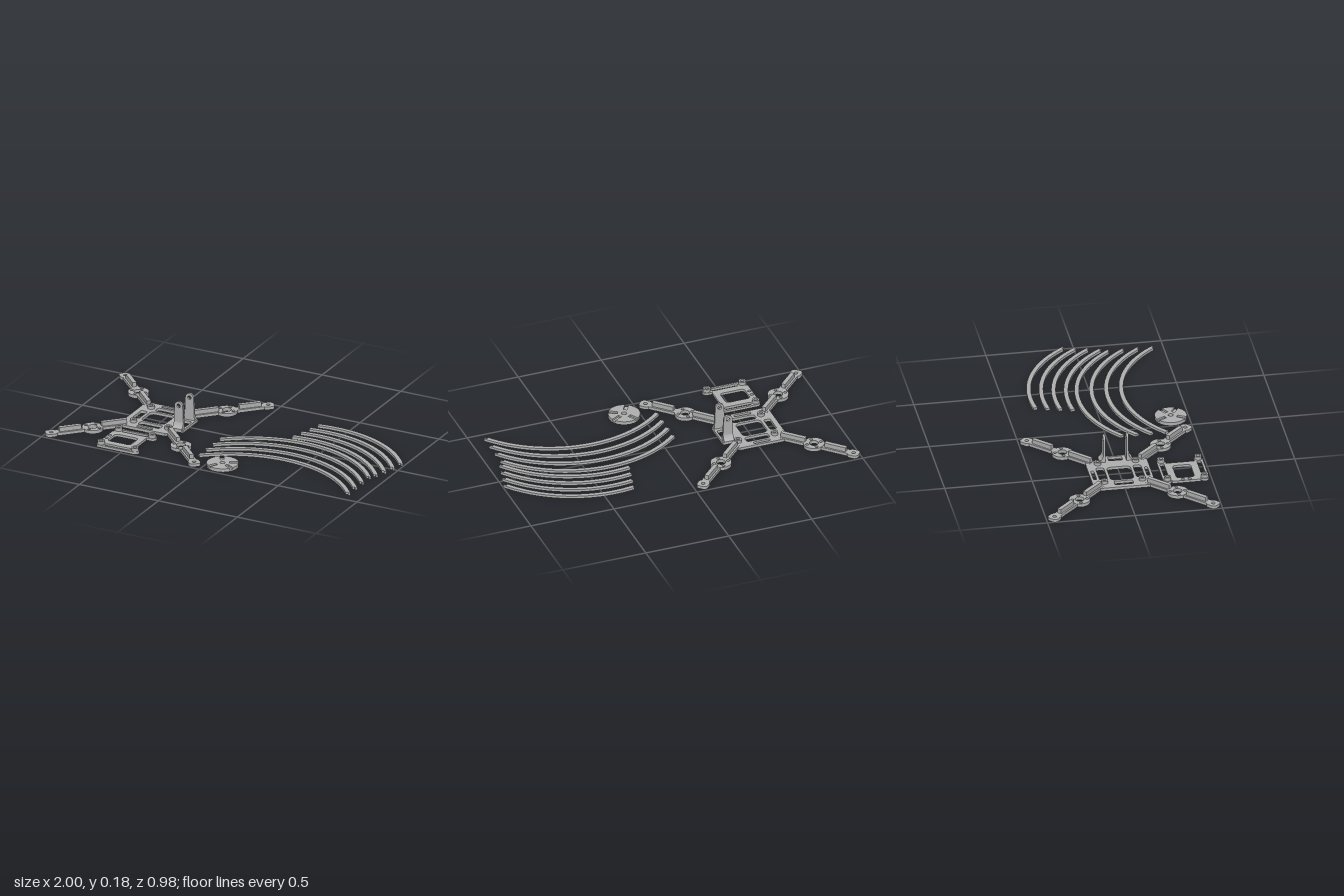
import * as THREE from 'three';

const grey = new THREE.MeshStandardMaterial({ color: 0xb0b0b0 });
grey.name = 'grey plastic';

// Rounded rectangle outline, usable as a shape or a hole
function roundRect(cx, cy, w, h, r, Type = THREE.Path) {
  const p = new Type(), x = w / 2, y = h / 2, q = Math.PI / 2;
  [[1, 1], [-1, 1], [-1, -1], [1, -1]].forEach(([sx, sy], i) =>
    p.absarc(cx + sx * (x - r), cy + sy * (y - r), r, i * q, (i + 1) * q, false));
  p.closePath();
  return p;
}

function circle(cx, cy, r, Type = THREE.Path) {
  return new Type().absarc(cx, cy, r, 0, Math.PI * 2, false);
}

// Flat plate lying on the ground; outlines use (x, -z)
function plate(name, shape, height, holes = [], y = 0) {
  shape.holes.push(...holes);
  const g = new THREE.ExtrudeGeometry(shape, { depth: height, bevelEnabled: false, curveSegments: 12 });
  g.rotateX(-Math.PI / 2).translate(0, y, 0);
  const m = new THREE.Mesh(g, grey);
  m.name = name;
  return m;
}

function box(name, w, h, d, x, y, z) {
  const m = new THREE.Mesh(new THREE.BoxGeometry(w, h, d), grey);
  m.position.set(x, y, z);
  m.name = name;
  return m;
}

const ring = (name, x, y, r, hole, h) => plate(name, circle(x, y, r, THREE.Shape), h, [circle(x, y, hole)]);

// Arm around its motor mount, tip towards local +x
function makeArm() {
  const arm = new THREE.Group();
  arm.name = 'arm';
  const screws = [0, 1, 2, 3].map(i => {
    const a = Math.PI / 4 + i * Math.PI / 2;
    return circle(0.042 * Math.cos(a), 0.042 * Math.sin(a), 0.009);
  });
  arm.add(
    plate('motorMount', circle(0, 0, 0.06, THREE.Shape), 0.02, [circle(0, 0, 0.026), ...screws]),
    plate('armTip', roundRect(0.245, 0, 0.066, 0.066, 0.022, THREE.Shape), 0.018, [circle(0.245, 0, 0.011)]),
    box('innerArmBar', 0.155, 0.018, 0.045, -0.1275, 0.009, 0),
    box('outerArmBar', 0.165, 0.018, 0.045, 0.1325, 0.009, 0),
    box('innerArmRib', 0.15, 0.029, 0.024, -0.125, 0.0295, 0),
    box('outerArmRib', 0.13, 0.029, 0.024, 0.135, 0.0295, 0));
  return arm;
}

function makeFrame() {
  const frame = new THREE.Group();
  frame.name = 'droneFrame';
  frame.position.x = -0.51;

  // Centre plate with a forward tab for the camera mount
  const s = new THREE.Shape();
  [[-0.174, -0.15], [-0.148, -0.176], [0.125, -0.176], [0.143, -0.158], [0.143, -0.09], [0.195, -0.09],
    [0.195, 0.09], [0.143, 0.09], [0.143, 0.158], [0.125, 0.176], [-0.148, 0.176], [-0.174, 0.15]]
    .forEach(([x, y], i) => (i ? s.lineTo(x, y) : s.moveTo(x, y)));
  const holes = [
    roundRect(-0.012, 0, 0.15, 0.135, 0.025),
    roundRect(-0.124, 0, 0.04, 0.108, 0.01),
    roundRect(0.161, 0, 0.044, 0.08, 0.01)];
  for (const k of [-1, 1]) {
    holes.push(roundRect(-0.005, k * 0.106, 0.14, 0.046, 0.015), roundRect(-0.015, k * 0.153, 0.1, 0.018, 0.006));
    for (const i of [-1, 1]) holes.push(circle(i * 0.11, k * 0.108, 0.01));
  }
  frame.add(plate('centrePlate', s, 0.017, holes));

  for (const sx of [-1, 1]) for (const sz of [-1, 1]) {
    frame.add(ring('frameBoss', sx * 0.11, sz * 0.108, 0.02, 0.01, 0.035));
    const arm = makeArm();
    arm.position.set(sx * 0.28, 0, sz * 0.28);
    arm.rotation.y = Math.atan2(-sz, sx);
    frame.add(arm);
  }

  // Upright camera brackets with curved gussets
  for (const k of [-1, 1]) {
    const b = new THREE.Shape();
    b.moveTo(-0.032, 0.01).lineTo(0.032, 0.01).lineTo(0.026, 0.153);
    b.absarc(0, 0.153, 0.026, 0, Math.PI, false);
    b.closePath();
    b.holes.push(circle(0, 0.153, 0.011));
    const upright = new THREE.Mesh(
      new THREE.ExtrudeGeometry(b, { depth: 0.013, bevelEnabled: false, curveSegments: 12 }), grey);
    upright.position.set(0.157, 0, k * 0.066 - 0.0065);
    upright.name = 'cameraBracket';

    const f = new THREE.Shape();
    f.moveTo(-k * 0.07, 0.01).lineTo(-k * 0.07, 0.065);
    f.quadraticCurveTo(-k * 0.076, 0.03, -k * 0.095, 0.022);
    f.lineTo(-k * 0.095, 0.01).closePath();
    const g = new THREE.ExtrudeGeometry(f, { depth: 0.06, bevelEnabled: false, curveSegments: 8 });
    g.rotateY(Math.PI / 2);
    const gusset = new THREE.Mesh(g, grey);
    gusset.position.x = 0.127;
    gusset.name = 'bracketGusset';
    frame.add(upright, gusset);
  }
  return frame;
}

// Separate mounting tray
function makeTray() {
  const tray = new THREE.Group();
  tray.name = 'mountingTray';
  tray.position.set(-0.535, 0, 0.354);
  tray.add(plate('trayPlate', roundRect(-0.024, 0, 0.216, 0.164, 0.008, THREE.Shape), 0.015, [
    roundRect(-0.024, 0, 0.146, 0.104, 0.02), circle(-0.117, 0.02, 0.01), circle(-0.117, -0.02, 0.01)]));
  for (const k of [-1, 1]) {
    tray.add(plate('trayRail', roundRect(0, k * 0.106, 0.266, 0.05, 0.024, THREE.Shape), 0.015, [
      roundRect(0, k * 0.106, 0.16, 0.024, 0.008), circle(-0.107, k * 0.106, 0.011), circle(0.107, k * 0.106, 0.011)]));
    for (const i of [-1, 1]) tray.add(ring('trayBoss', i * 0.107, k * 0.106, 0.021, 0.011, 0.035));
  }
  return tray;
}

// Disc with four radial notches in its upper face
function makeDisc() {
  const disc = new THREE.Group(), R = 0.091, w = 0.011, inner = 0.038;
  disc.name = 'hubDisc';
  disc.position.set(0.094, 0, 0.396);
  const s = new THREE.Shape(), a = Math.asin(w / R);
  const angles = [30, 120, 240, 330].map(d => d * Math.PI / 180);
  angles.forEach((t, i) => {
    const c = Math.cos(t), n = Math.sin(t);
    const at = (r, o) => [r * c - o * n, r * n + o * c];
    const rim = at(R * Math.cos(a), -w);
    if (i) s.lineTo(...rim); else s.moveTo(...rim);
    s.lineTo(...at(inner, -w)).lineTo(...at(inner, w)).lineTo(...at(R * Math.cos(a), w));
    const next = i < 3 ? angles[i + 1] : angles[0] + Math.PI * 2;
    s.absarc(0, 0, R, t + a, next - a, false);
  });
  disc.add(plate('discBase', circle(0, 0, R, THREE.Shape), 0.01, [circle(0, 0, 0.015)]),
    plate('discTop', s, 0.011, [circle(0, 0, 0.015)], 0.01));
  return disc;
}

// Curved guard strip; angles are measured from its crest, with a half-width tongue at the far end
function makeStrip(name, x, z, from, to) {
  const R = 0.683, w = 0.0125, rad = d => Math.PI / 2 - d * Math.PI / 180;
  const s = new THREE.Shape();
  s.absarc(0, 0, R + w, rad(from), rad(to), true);
  s.absarc(0, 0, R, rad(to), rad(to - 1.2), false);
  s.absarc(0, 0, R - w, rad(to - 1.2), rad(from), false);
  s.closePath();
  const g = new THREE.ExtrudeGeometry(s, { depth: 0.015, bevelEnabled: false, curveSegments: 32 });
  g.rotateX(-Math.PI / 2);
  const m = new THREE.Mesh(g, grey);
  m.position.set(x, 0, z + R);
  m.name = name;
  return m;
}

export function createModel() {
  const model = new THREE.Group();
  model.name = 'droneKit';
  model.add(makeFrame(), makeTray(), makeDisc());
  for (let i = 0; i < 4; i++) {
    model.add(makeStrip('longGuardStrip', 0.369, 0.171 - i * 0.0845, -41.6, 53),
      makeStrip('shortGuardStrip', 0.432 - i * 0.018, -0.346 + i * 0.068, -9.5, 54.8));
  }
  return model;
}
